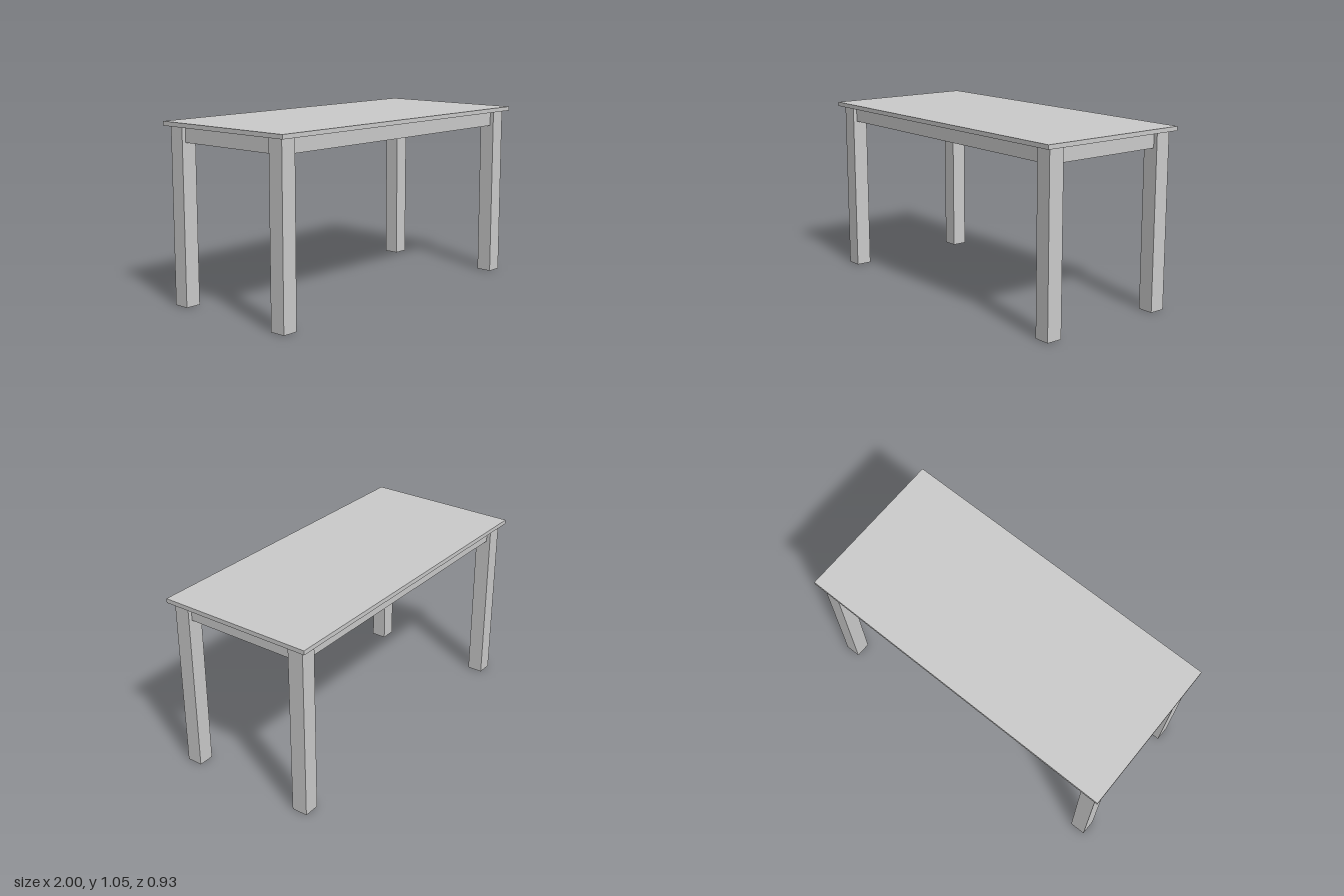
import * as THREE from 'three';

const TOP_Y = 1.022;   // underside of the tabletop
const LEG = 0.094;     // leg width
const LEG_X = 0.925, LEG_Z = 0.387; // leg centres
const APRON_H = 0.089, APRON_T = 0.047;

export function createModel() {
  const group = new THREE.Group();
  const material = new THREE.MeshStandardMaterial({ color: 0xcccccc });

  const box = (name, w, h, d, x, y, z) => {
    const mesh = new THREE.Mesh(new THREE.BoxGeometry(w, h, d), material);
    mesh.name = name;
    mesh.position.set(x, y, z);
    group.add(mesh);
  };

  // Thin overhanging slab
  box('tabletop', 2, 0.025, 0.934, 0, TOP_Y + 0.0125, 0);

  // Four square legs
  for (const [side, sx] of [['Left', 1], ['Right', -1]]) {
    for (const [end, sz] of [['front', 1], ['back', -1]]) {
      box(`${end}${side}Leg`, LEG, TOP_Y, LEG, sx * LEG_X, TOP_Y / 2, sz * LEG_Z);
    }
  }

  // Aprons between the legs, centred on the leg thickness
  const apronY = TOP_Y - APRON_H / 2;
  for (const [name, s] of [['front', 1], ['back', -1]]) {
    box(`${name}Apron`, 2 * LEG_X - LEG, APRON_H, APRON_T, 0, apronY, s * LEG_Z);
  }
  for (const [name, s] of [['left', 1], ['right', -1]]) {
    box(`${name}Apron`, APRON_T, APRON_H, 2 * LEG_Z - LEG, s * LEG_X, apronY, 0);
  }

  return group;
}
